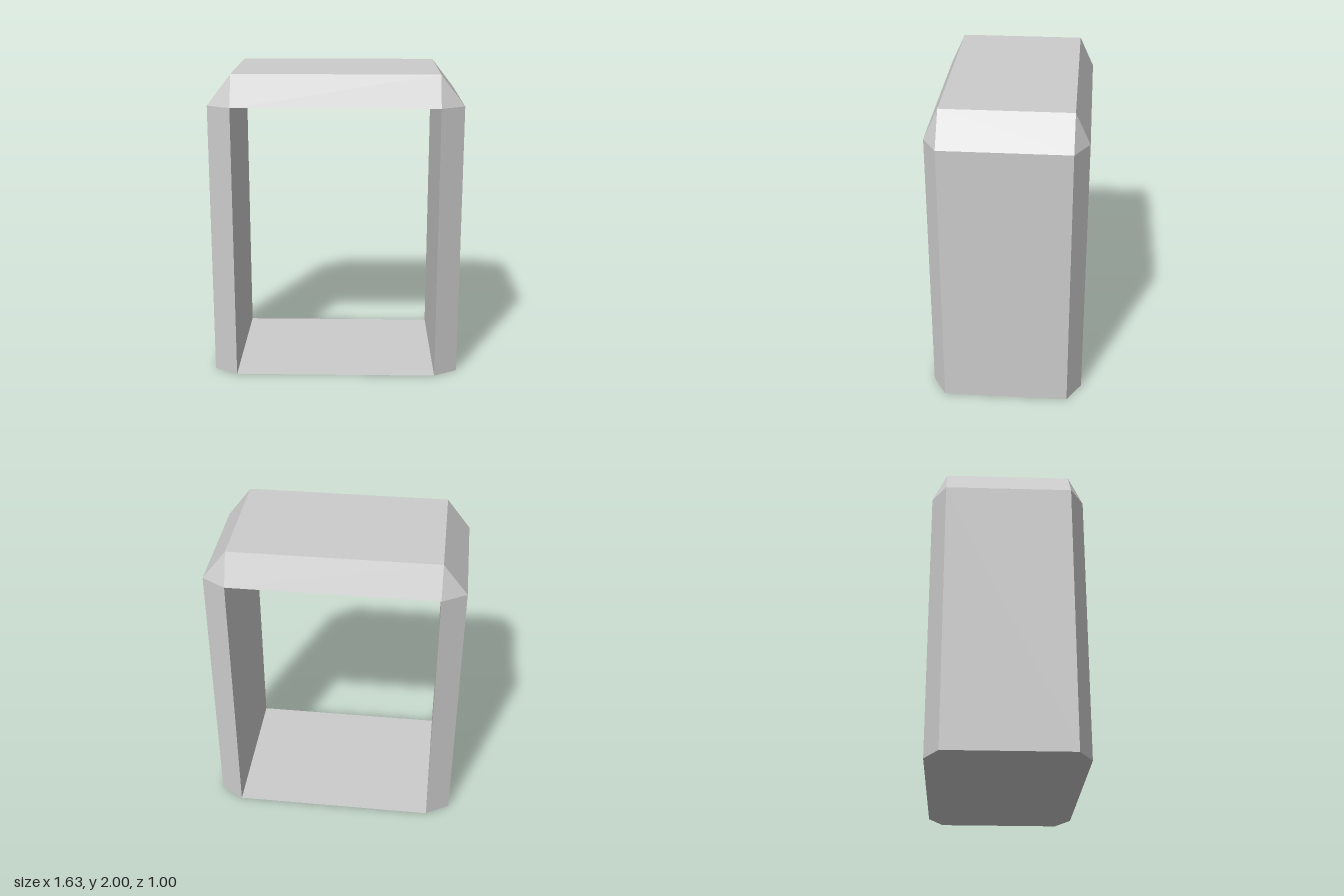
import * as THREE from 'three';
import { ConvexGeometry } from 'three/addons/geometries/ConvexGeometry.js';

const INNER_X = 0.66, OUTER_X = 0.815; // opening and outer half widths
const FULL_Z = 0.5, SIDE_Z = 0.407;    // half depths before and after the chamfer
const EAVE_Y = 1.8, TOP_Y = 2;

export function createModel() {
  const model = new THREE.Group();
  model.name = 'archFrame';
  const material = new THREE.MeshStandardMaterial({ color: 0xcccccc, flatShading: true });
  const add = (name, geometry, mat = material) => {
    const mesh = new THREE.Mesh(geometry, mat);
    mesh.name = name;
    model.add(mesh);
    return mesh;
  };

  // Side walls: chamfered plan, extruded upwards
  for (const [name, s] of [['leftWall', 1], ['rightWall', -1]]) {
    const plan = new THREE.Shape([
      new THREE.Vector2(s * INNER_X, -FULL_Z),
      new THREE.Vector2(s * OUTER_X, -SIDE_Z),
      new THREE.Vector2(s * OUTER_X, SIDE_Z),
      new THREE.Vector2(s * INNER_X, FULL_Z),
    ]);
    const wall = new THREE.ExtrudeGeometry(plan, { depth: EAVE_Y, bevelEnabled: false });
    add(name, wall.rotateX(-Math.PI / 2));
  }

  // Roof: eight-sided base tapering to a rectangular top
  const points = [];
  for (const sx of [-1, 1]) {
    for (const sz of [-1, 1]) {
      points.push(
        new THREE.Vector3(sx * INNER_X, EAVE_Y, sz * FULL_Z),
        new THREE.Vector3(sx * OUTER_X, EAVE_Y, sz * SIDE_Z),
        new THREE.Vector3(sx * INNER_X, TOP_Y, sz * SIDE_Z),
      );
    }
  }
  add('roof', new ConvexGeometry(points));

  // Thin floor between the walls
  const floorMaterial = material.clone();
  floorMaterial.side = THREE.DoubleSide;
  add('floor', new THREE.PlaneGeometry(2 * INNER_X, 2 * FULL_Z).rotateX(-Math.PI / 2), floorMaterial);

  return model;
}
